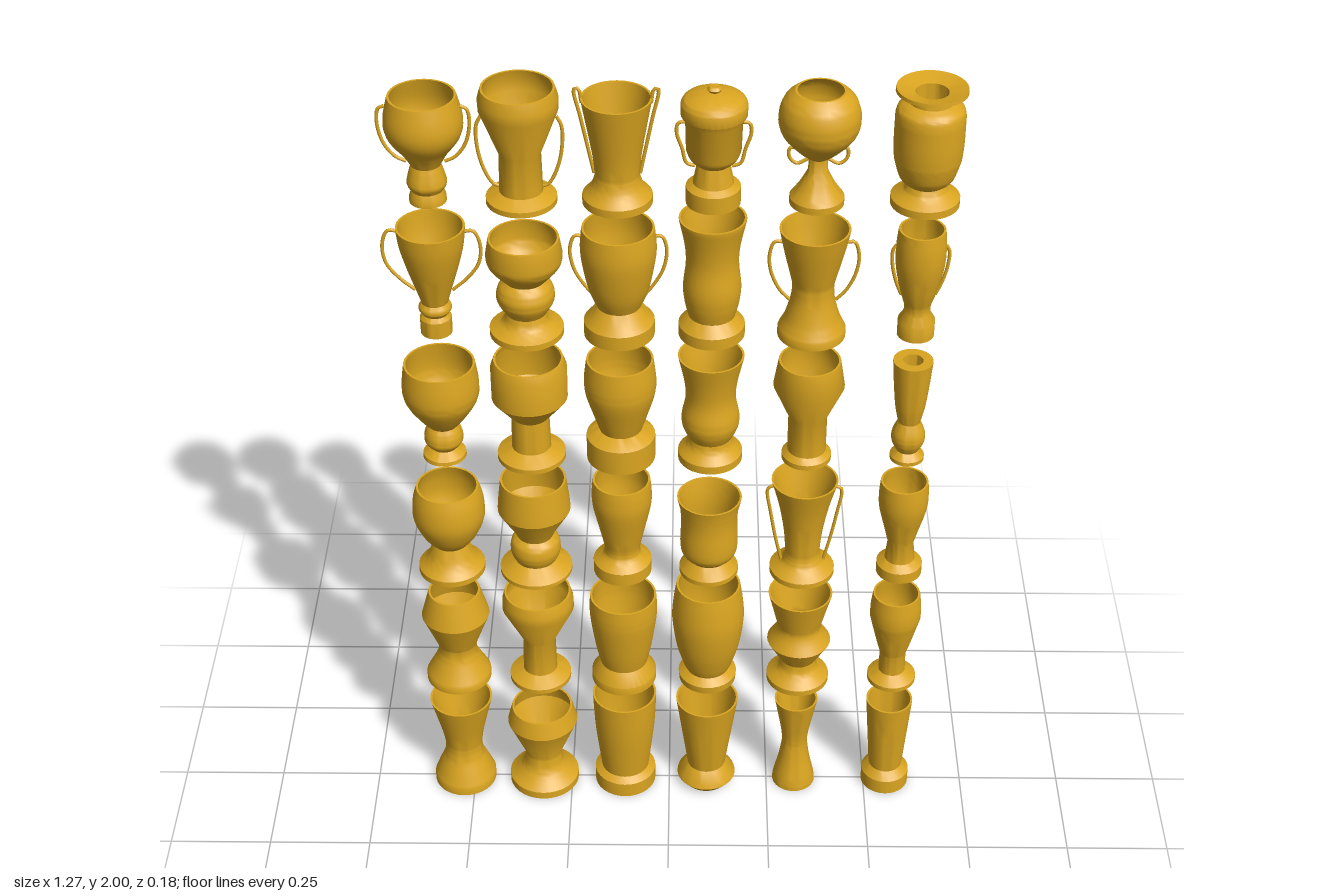
import * as THREE from 'three';
import { toCreasedNormals } from 'three/addons/utils/BufferGeometryUtils.js';

const gold = new THREE.MeshStandardMaterial({ color: 0xdaa520 });
const COLS = [-0.526, -0.322, -0.113, 0.095, 0.32, 0.555];
const ROWS = [0, 0.348, 0.692, 1.032, 1.378, 1.72];
const WALL = 0.005;

// Flat list of hundredths (r, y, r, y, ...) to points
function toPoints(list) {
  const pts = [];
  for (let i = 0; i < list.length; i += 2) pts.push(new THREE.Vector2(list[i] / 100, list[i + 1] / 100));
  return pts;
}

// Pieces run upward from the axis: one point is a straight line, several are a smooth curve
function outline(pieces) {
  const out = [new THREE.Vector2(0, 0)];
  for (const piece of pieces) {
    const pts = toPoints(piece);
    if (pts.length === 1) out.push(pts[0]);
    else out.push(...new THREE.SplineCurve([out[out.length - 1], ...pts]).getPoints(pts.length * 4).slice(1));
  }
  return out;
}

// Hollow the bowl: follow the outside wall down to the narrowest neck
function hollow(outer) {
  const h = outer[outer.length - 1].y;
  let neck = -1;
  outer.forEach((p, i) => {
    if (p.y > 0.15 * h && p.y < 0.65 * h && (neck < 0 || p.x <= outer[neck].x + 1e-5)) neck = i;
  });
  const inner = outer.slice(neck).reverse().map((p) => new THREE.Vector2(p.x - WALL, p.y));
  return [...outer, ...inner, new THREE.Vector2(0, outer[neck].y)];
}

export function createModel() {
  const model = new THREE.Group();
  model.name = 'cupCollection';

  // Row and column count from the lower left
  function cup(row, col, pieces, handle) {
    const group = new THREE.Group();
    group.name = `${handle ? 'handledCup' : 'cup'}Row${row}Column${col}`;
    group.position.set(COLS[col - 1], ROWS[row - 1], 0);
    const outer = outline(pieces);
    const closed = outer[outer.length - 1].x < 1e-6;
    const lathe = new THREE.LatheGeometry(closed ? outer : hollow(outer), 32);
    const body = new THREE.Mesh(toCreasedNormals(lathe, 0.6), gold);
    body.name = 'cupBody';
    group.add(body);
    if (handle) {
      const path = new THREE.CatmullRomCurve3(toPoints(handle).map((p) => new THREE.Vector3(p.x, p.y, 0)));
      const tube = new THREE.TubeGeometry(path, 28, 0.004, 8);
      for (const side of ['left', 'right']) {
        const mesh = new THREE.Mesh(tube, gold);
        mesh.name = side + 'Handle';
        mesh.rotation.y = side === 'left' ? 0 : Math.PI;
        group.add(mesh);
      }
    }
    model.add(group);
  }

  // Bottom row: plain tumblers
  cup(1, 1, [[7.8, 0], [7.8, 2], [6.4, 5.5, 5, 9, 4.6, 12], [5.4, 17, 7.8, 27.2]]);
  cup(1, 2, [[8.8, 0], [8.8, 2], [7, 3.6, 5.2, 6, 4.6, 9.5], [8.8, 20], [7.6, 24.5]]);
  cup(1, 3, [[7.7, 0], [7.7, 4], [6, 5.2], [6.8, 12, 7.6, 20, 8, 29]]);
  cup(1, 4, [[5.6, 0], [7.4, 2.2], [7.2, 3], [4.8, 6], [7.8, 27.5]]);
  cup(1, 5, [[5.4, 0], [5.2, 2, 3.9, 8, 3.2, 13], [3.5, 17, 5.4, 27.5]]);
  cup(1, 6, [[6, 0], [6, 4], [4.2, 6], [4.8, 14, 5.8, 27.5]]);

  // Second row: waisted vases and stemmed cups
  cup(2, 1, [[8, 0], [8, 1.6], [6.2, 5, 4.9, 8, 4.7, 10.5], [6, 14, 8.3, 20], [6.3, 27.2]]);
  cup(2, 2, [[7.6, 0], [7.6, 1.2], [4.2, 3], [4, 12.5], [8.8, 22.5], [8.7, 25], [8.1, 27.2]]);
  cup(2, 3, [[8, 0], [8, 2.2], [5.8, 5.5], [6.8, 10, 8, 18, 8.3, 22, 8.1, 26.2]]);
  cup(2, 4, [[7, 0], [7.2, 2], [5.3, 3.5], [6, 5], [7.7, 11, 8.8, 19, 8.5, 25, 7.8, 29.7]]);
  cup(2, 5, [[7.7, 0], [7.7, 1.5], [5, 4, 4.4, 6.5], [7.8, 12.5], [5.5, 16.5, 6, 20, 7.8, 27.2]]);
  cup(2, 6, [[6, 0], [6, 1.2], [3.3, 3], [3.2, 8.5], [4.2, 12, 6.2, 20], [6.2, 23, 5.7, 27.2]]);

  // Third row
  cup(3, 1, [[8, 0], [8, 1.5], [5.8, 4, 4.2, 8], [6.5, 11, 8.5, 16, 8.4, 21, 7.4, 24.8]]);
  cup(3, 2, [[8.7, 0], [8.7, 1], [5, 3.5], [6, 6, 5.7, 9, 4.3, 10.5], [5.2, 12.5], [8.7, 18.5], [8.5, 21], [7.8, 27]]);
  cup(3, 3, [[7, 0], [7, 3.3], [4.5, 5.5, 4.3, 7.5], [5.5, 13, 7, 20, 7.1, 24, 6.8, 27]]);
  cup(3, 4, [[7.1, 0], [7.1, 1.2], [4.9, 4], [6.5, 6, 6.9, 9, 6.7, 15, 7, 19], [7.7, 22]]);
  cup(3, 5, [[7.8, 0], [7.8, 1.4], [5, 3.5, 4.1, 5.5], [4.6, 12, 6, 20, 7.9, 27.2]],
    [5, 2.8, 6.6, 10, 8, 18, 8.8, 23, 8.6, 24.6, 7.2, 25.3]);
  cup(3, 6, [[5.5, 0], [5.5, 2.8], [3.6, 4.2], [3.1, 9], [4.1, 13, 5.6, 19, 5.9, 23, 5.6, 27]]);

  // Fourth row
  cup(4, 1, [[5.1, 0], [5, 1], [3, 2.5], [4.5, 4.5, 4.3, 7, 3.4, 8.8], [5.2, 11, 8.3, 16, 8.9, 20, 8.2, 25.8]]);
  cup(4, 2, [[8, 0], [8, 1.2], [4.6, 3], [4.4, 11.5], [8.8, 17], [8.8, 25], [8, 27.3]]);
  cup(4, 3, [[8, 0], [8, 6.3], [5, 8.2], [6.2, 12, 8, 18, 8.3, 22, 7.7, 27.3]]);
  cup(4, 4, [[7.5, 0], [7.5, 2], [5.5, 4.2, 5, 6], [6.4, 9, 6.7, 12, 5.8, 17, 6.2, 22, 7.6, 28.5]]);
  cup(4, 5, [[5.8, 0], [5.8, 1.3], [4.5, 2.5], [4.5, 12], [8.2, 20.5], [7.1, 27.3]]);
  cup(4, 6, [[4, 0], [4, 1], [2.6, 2.5], [3.8, 5, 3.8, 7.5, 2.6, 10.5], [3.5, 15, 4.2, 22], [4.6, 27.3],
    [2.3, 27.3], [2, 14], [0, 14]]);

  // Fifth row: two-handled trophies among vases
  cup(5, 1, [[3.6, 0], [3.6, 4], [2.9, 5], [3.8, 6.5, 3, 8], [4.2, 12, 6, 18, 7.2, 23, 7.7, 27.5]],
    [7.4, 26.2, 9.4, 26.3, 10.8, 23, 10.3, 18, 7.5, 14, 4.2, 11]);
  cup(5, 2, [[8.4, 0], [8.4, 1.5], [5.5, 3.2, 4.6, 5.5], [6.5, 9, 6.2, 12, 4.6, 14], [8, 18, 8.6, 20.5], [7.9, 24.7]]);
  cup(5, 3, [[8, 0], [8, 3.5], [6.8, 4.8], [5, 7.5], [6.8, 12, 8.2, 19, 8.5, 23, 8.1, 27.5]],
    [8, 25.2, 9.6, 25.2, 10.7, 22, 10, 17, 8, 13, 5.4, 9.5]);
  cup(5, 4, [[7.5, 0], [7.5, 2.8], [5.3, 5.2], [6.2, 9, 6.5, 13, 5.9, 19, 6.3, 24, 7.5, 29.8], [7.5, 30.2]]);
  cup(5, 5, [[7.7, 0], [7.7, 1.8], [6.2, 5, 4.9, 10, 4.7, 13.5], [5.8, 18, 7, 23, 7.9, 27.5]],
    [7.2, 24, 8.8, 24, 9.9, 20.5, 9.4, 16, 7.4, 11.5, 5.2, 9]);
  cup(5, 6, [[4.2, 0], [4.2, 4], [3, 6], [3, 8], [4.2, 12, 5.4, 18, 5.6, 23, 5.2, 27.5]],
    [5.4, 23.5, 6.2, 22, 6.1, 18, 5, 13.5, 3.8, 10.5]);

  // Top row: trophies
  cup(6, 1, [[4.1, 0], [4.1, 1.2], [3.5, 2.8], [4.4, 4.5, 3.9, 7, 3.3, 9], [5, 12, 7.9, 16, 8.6, 20, 7.4, 25.5]],
    [8, 23, 9.4, 22.3, 9.9, 19, 8.8, 14, 6.5, 10.8, 4.2, 9.6]);
  cup(6, 2, [[7.8, 0], [7.8, 1.3], [4.8, 2.8], [4.6, 12], [8.6, 22.5], [8.7, 25], [8, 27.5]],
    [8, 20.8, 9.1, 18.5, 9.1, 13, 7.8, 7.5, 6, 4.2, 4.6, 3.6]);
  cup(6, 3, [[7.7, 0], [7.7, 1.8], [5.8, 4, 4.9, 6.5], [5.4, 12, 7.7, 25.2]],
    [5, 7, 6.4, 14, 7.8, 21, 9, 26.5, 8.8, 27.5, 8, 27.2, 7.4, 24]);
  // Lidded urn with a finial
  cup(6, 4, [[6, 0], [6, 4], [4.5, 5], [3.6, 9.5], [5.2, 11, 6, 13], [6.2, 20], [7.2, 21.5], [7.2, 24],
    [6.4, 25.2, 3.5, 26.4, 1.2, 26.8], [1.6, 27.4, 1.1, 28], [0, 28]],
    [6, 19.5, 7.6, 19.2, 8, 17, 6.8, 13, 5.8, 9.5, 4, 8.8]);
  cup(6, 5, [[6, 0], [6, 1.6], [4, 4.5, 2.2, 8], [2, 11], [4.5, 13, 8, 17, 8.9, 21, 7.8, 25, 5.5, 27.2]],
    [5, 13.5, 6.2, 13.2, 6.2, 11, 4.6, 9.6, 2, 10.8]);
  // Broad-lipped urn with a narrow mouth
  cup(6, 6, [[7.6, 0], [7.6, 1.8], [5, 3.6, 4.2, 5], [6, 6.8, 7.3, 11], [7.6, 15, 7.6, 21.5], [7, 23.5, 4.8, 24.8],
    [4.6, 26.6], [7.8, 27.2], [7.7, 28], [3.6, 27], [3.5, 22], [0, 22]]);

  return model;
}
